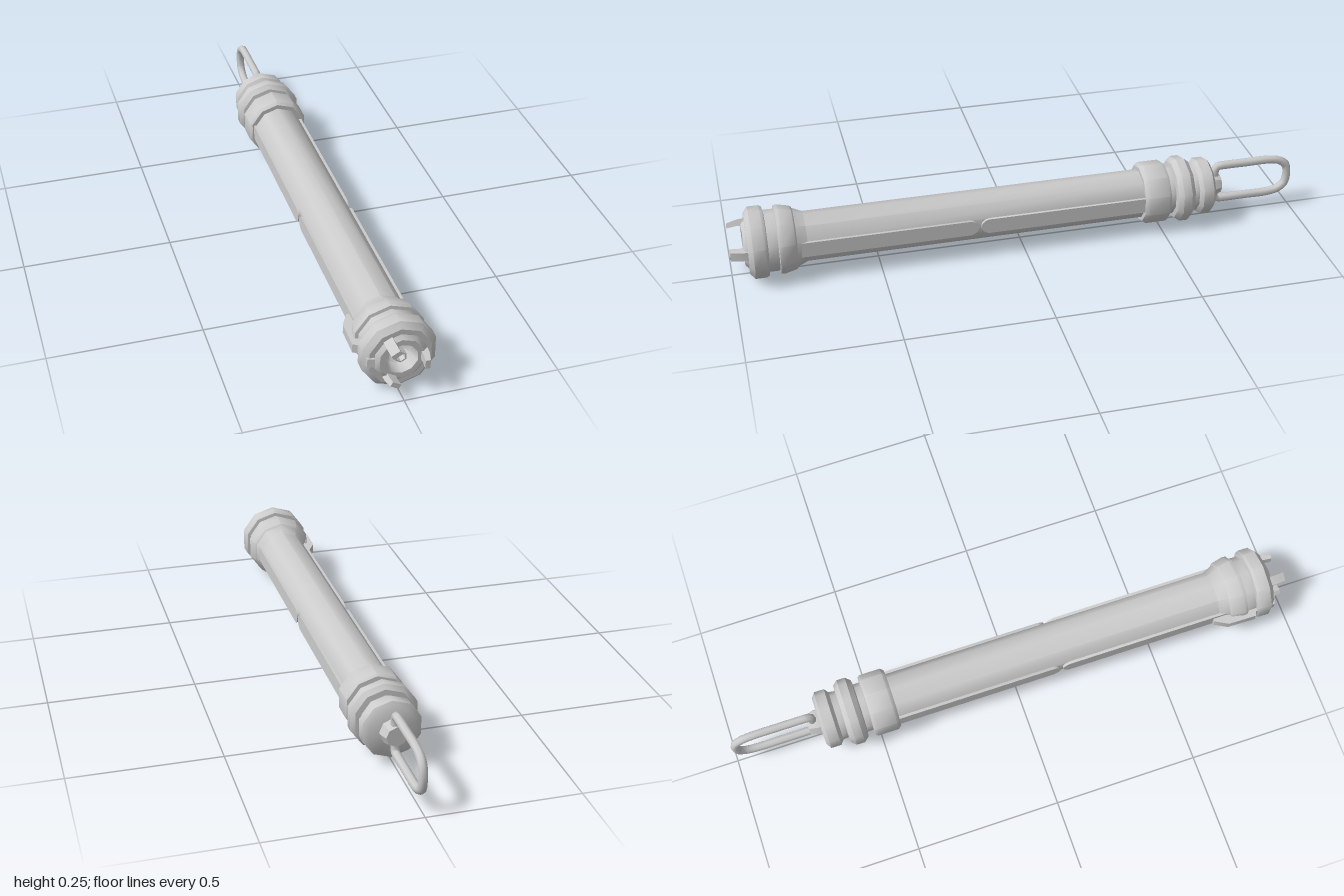
import * as THREE from 'three';
import { toCreasedNormals } from 'three/addons/utils/BufferGeometryUtils.js';

const material = new THREE.MeshStandardMaterial({ color: 0xcccccc, side: THREE.DoubleSide });

function add(parent, name, geometry, crease = 0.66) {
  const mesh = new THREE.Mesh(toCreasedNormals(geometry, crease), material);
  mesh.name = name;
  parent.add(mesh);
  return mesh;
}

// Turned part along z; profile is [radius, z] from back to front
function turned(profile, sides = 10) {
  return new THREE.LatheGeometry(profile.map(([r, z]) => new THREE.Vector2(r, z)), sides).rotateX(Math.PI / 2);
}

// Outline in the (radius, z) plane, given a thickness in y
function slab(points, width) {
  const shape = new THREE.Shape(points.map(([r, z]) => new THREE.Vector2(r, z)));
  const g = new THREE.ExtrudeGeometry(shape, { depth: width, bevelEnabled: false });
  return g.translate(0, 0, -width / 2).rotateX(Math.PI / 2);
}

export function createModel() {
  const model = new THREE.Group();
  model.name = 'lightStick';
  const body = new THREE.Group();
  body.name = 'body';
  body.position.set(0.005, 0.125, 0);
  model.add(body);

  // Long tube with a flared mouth
  add(body, 'tube', turned([[0.085, -0.45], [0.085, 0.745], [0.102, 0.785]]));

  // Front collar, groove and rim, ending in a stepped face
  add(body, 'frontCollar', turned([
    [0.102, 0.78], [0.108, 0.785], [0.118, 0.828], [0.116, 0.84], [0.105, 0.842], [0.105, 0.876],
    [0.117, 0.878], [0.1225, 0.888], [0.1225, 0.926], [0.103, 0.942], [0.085, 0.942],
    [0.072, 0.954], [0.053, 0.954]]));

  // Hollow reflector and hexagonal bulb stub
  add(body, 'reflector', turned([[0.053, 0.954], [0.044, 0.915], [0.02, 0.885], [0, 0.885]]));
  add(body, 'bulb', turned([[0.02, 0.88], [0.02, 0.945], [0.015, 0.945], [0.015, 0.925], [0, 0.925]], 6));

  // Three prongs around the lens
  for (let i = 0; i < 3; i++) {
    const prong = add(body, 'prong', slab([
      [0.058, 0.93], [0.086, 0.93], [0.083, 0.965], [0.074, 1], [0.058, 1], [0.062, 0.965]], 0.031));
    prong.rotation.z = (i * Math.PI * 2) / 3;
  }

  // Switch clip on the model's right side
  add(body, 'switchClip', slab([
    [-0.08, 0.72], [-0.1, 0.72], [-0.125, 0.765], [-0.127, 0.865], [-0.112, 0.872],
    [-0.106, 0.945], [-0.083, 0.95]], 0.031));

  // Raised side strips, two per side, rounded where they meet
  for (const side of [-1, 1]) {
    for (const [seam, end] of [[0.165, 0.775], [0.155, -0.44]]) {
      const d = Math.sign(end - seam) * 0.025;
      const s = new THREE.Shape();
      s.moveTo(end, -0.027);
      s.lineTo(seam + d, -0.027);
      s.quadraticCurveTo(seam, -0.02, seam, 0);
      s.quadraticCurveTo(seam, 0.02, seam + d, 0.027);
      s.lineTo(end, 0.027);
      s.closePath();
      const strip = add(body, 'sideStrip', new THREE.ExtrudeGeometry(s, { depth: 0.014, bevelEnabled: false, curveSegments: 4 })
        .rotateY(-Math.PI / 2));
      strip.position.x = side > 0 ? 0.09 : -0.076;
    }
  }

  // Rear cap with three ribs
  add(body, 'rearCap', turned([
    [0, -0.69], [0.082, -0.69], [0.1, -0.678], [0.1, -0.642], [0.085, -0.63],
    [0.083, -0.61], [0.102, -0.608], [0.116, -0.592], [0.116, -0.563], [0.102, -0.546],
    [0.085, -0.543], [0.085, -0.522], [0.104, -0.52], [0.109, -0.512], [0.109, -0.44],
    [0.1, -0.428], [0.083, -0.428]]));

  // End knob
  add(body, 'knob', turned([[0, -0.73], [0.034, -0.73], [0.045, -0.7], [0.045, -0.685]], 8));

  // Hanging loop through the knob
  const outline = [
    [0, -0.712], [0.05, -0.712], [0.064, -0.72], [0.066, -0.745], [0.066, -0.83], [0.066, -0.91],
    [0.059, -0.95], [0.04, -0.977], [0.015, -0.985]];
  const half = outline.map(([y, z]) => new THREE.Vector3(0, y, z));
  const other = outline.slice(1).reverse().map(([y, z]) => new THREE.Vector3(0, -y, z));
  const path = new THREE.CatmullRomCurve3([...half, ...other], true, 'centripetal');
  const loop = add(body, 'loop', new THREE.TubeGeometry(path, 56, 0.015, 8, true), 1.2);
  loop.position.y = 0.004;

  return model;
}
